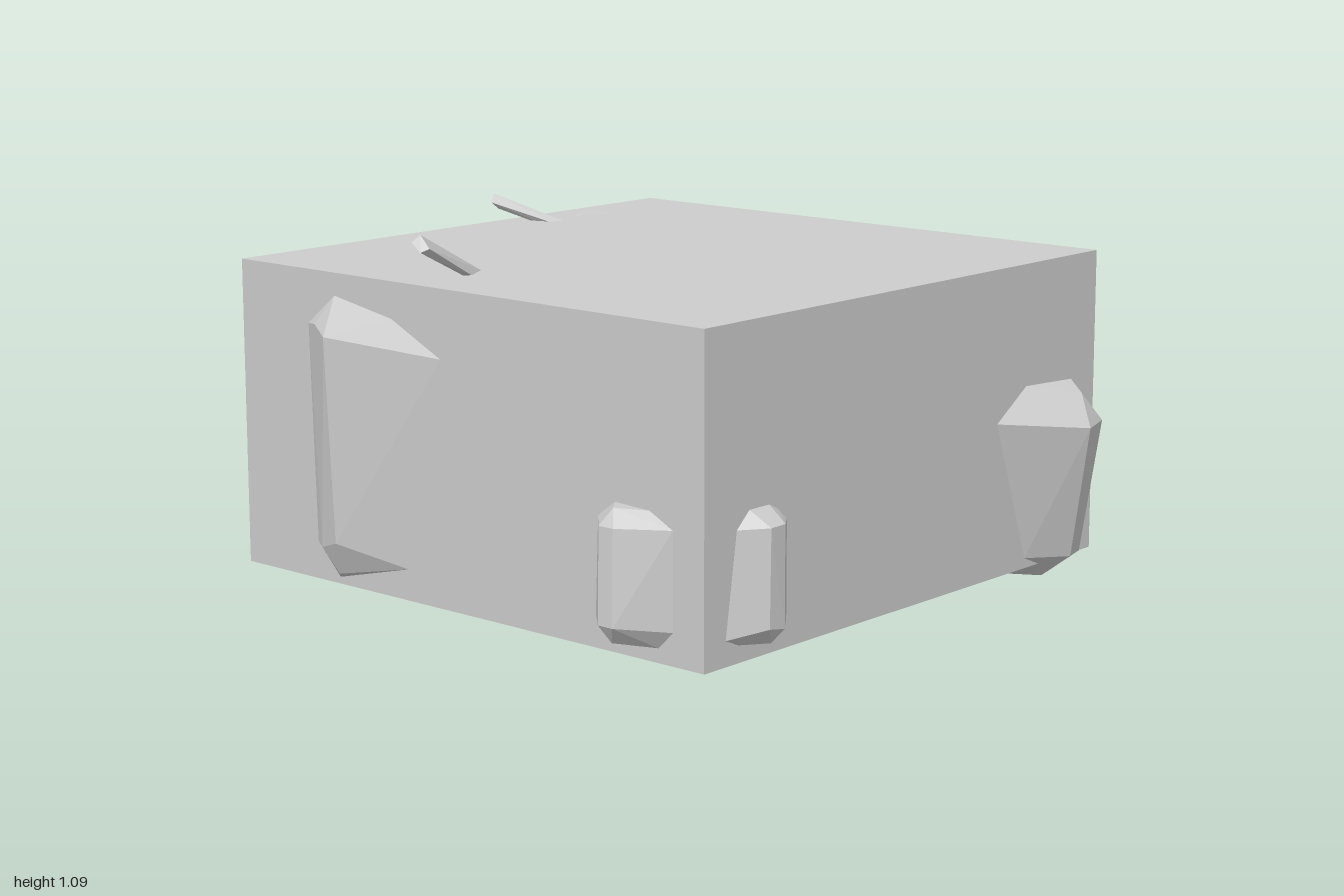
import * as THREE from 'three';
import { ConvexGeometry } from 'three/addons/geometries/ConvexGeometry.js';

export function createModel() {
  const model = new THREE.Group();
  const stone = new THREE.MeshStandardMaterial({ color: 0xcccccc });
  stone.name = 'paleGreyStone';

  const add = (name, geometry) => {
    const mesh = new THREE.Mesh(geometry, stone);
    mesh.name = name;
    model.add(mesh);
    return mesh;
  };
  // Faceted crystal: hull of its visible corners and a root inside the block
  const crystal = (name, root, corners) =>
    add(name, new ConvexGeometry([root, ...corners].map((p) => new THREE.Vector3(...p))));

  // Main block
  add('block', new THREE.BoxGeometry(1.755, 0.895, 1.755)).position.set(-0.022, 0.5075, -0.0425);

  // Front crystals: upper cap, upper ring, lower ring, lower tip
  crystal('frontLargeCrystal', [0.6, 0.3, 0.6], [
    [0.51, 0.6, 0.835], [0.66, 0.57, 0.925], [0.73, 0.59, 0.84],
    [0.37, 0.51, 0.835], [0.62, 0.48, 0.985], [0.74, 0.48, 0.945], [0.81, 0.5, 0.835],
    [0.52, 0.09, 0.835], [0.66, 0.08, 0.9], [0.735, 0.08, 0.88], [0.77, 0.06, 0.83],
    [0.66, 0.005, 0.8], [0.32, 0.06, 0.62], [0.83, 0.06, 0.72],
  ]);
  crystal('frontSmallCrystal', [-0.7, 0.28, 0.75], [
    [-0.74, 0.465, 0.85], [-0.66, 0.465, 0.85], [-0.6, 0.44, 0.83],
    [-0.79, 0.42, 0.85], [-0.73, 0.425, 0.915], [-0.67, 0.425, 0.912], [-0.57, 0.41, 0.835],
    [-0.815, 0.13, 0.835], [-0.74, 0.16, 0.92], [-0.68, 0.15, 0.92], [-0.57, 0.14, 0.835],
    [-0.77, 0.11, 0.84], [-0.7, 0.11, 0.89], [-0.6, 0.1, 0.835],
  ]);

  // Side crystals
  crystal('leftSideCrystal', [0.7, 0.35, 0.5], [
    [0.855, 0.63, 0.65], [0.92, 0.66, 0.48], [0.86, 0.665, 0.53],
    [0.855, 0.51, 0.77], [1, 0.56, 0.53], [0.98, 0.57, 0.43], [0.95, 0.6, 0.355], [0.855, 0.56, 0.34],
    [0.855, 0.12, 0.66], [0.98, 0.17, 0.44], [0.93, 0.2, 0.28], [0.855, 0.21, 0.27],
    [0.855, 0.08, 0.46], [0.9, 0.08, 0.41],
  ]);
  crystal('rightSideFrontCrystal', [-0.8, 0.28, 0.6], [
    [-0.95, 0.465, 0.57], [-0.9, 0.465, 0.53], [-0.9, 0.46, 0.65],
    [-0.9, 0.42, 0.47], [-0.985, 0.42, 0.55], [-0.985, 0.42, 0.6], [-0.9, 0.42, 0.73],
    [-0.9, 0.15, 0.46], [-1, 0.16, 0.56], [-1, 0.16, 0.61], [-0.9, 0.15, 0.73],
    [-0.97, 0.11, 0.58], [-0.9, 0.1, 0.55], [-0.9, 0.1, 0.68],
  ]);
  crystal('rightSideBackCrystal', [-0.75, 0.5, -0.4], [
    [-0.9, 0.89, -0.53], [-0.9, 0.85, -0.3],
    [-0.9, 0.8, -0.64], [-0.94, 0.81, -0.57], [-0.99, 0.79, -0.48], [-0.9, 0.76, -0.11],
    [-0.97, 0.2, -0.47], [-0.94, 0.17, -0.56], [-0.9, 0.17, -0.62], [-0.9, 0.15, -0.25],
    [-0.93, 0.1, -0.5], [-0.9, 0.08, -0.53],
  ]);
  crystal('leftSideSliver', [0.82, 0.22, 0.13], [
    [0.858, 0.3, 0.135], [0.86, 0.18, 0.12], [0.855, 0.18, 0.145],
  ]);

  // Back crystal
  crystal('backCrystal', [0.45, 0.45, -0.8], [
    [0.51, 0.885, -0.92], [0.45, 0.87, -0.922], [0.5, 0.86, -0.938],
    [0.595, 0.21, -0.92], [0.23, 0.235, -0.92], [0.48, 0.25, -0.985],
    [0.54, 0.24, -0.965], [0.45, 0.185, -0.92],
  ]);

  // Thin shards on the top
  crystal('topLongShard', [-0.62, 0.92, -0.24], [
    [-0.88, 1.09, -0.2], [-0.9, 1.07, -0.215], [-0.9, 1.045, -0.18], [-0.88, 1.055, -0.165],
    [-0.6, 0.955, -0.25], [-0.67, 0.95, -0.21], [-0.67, 0.95, -0.255],
  ]);
  crystal('topBackShard', [0.25, 0.93, -0.78], [
    [0.165, 1.035, -0.96], [0.14, 1.01, -0.945], [0.19, 1.025, -0.96], [0.16, 0.99, -0.935],
    [0.28, 0.95, -0.75], [0.28, 0.95, -0.8], [0.23, 0.95, -0.82], [0.24, 0.95, -0.77],
  ]);
  crystal('topSliver', [0.46, 0.92, -0.81], [
    [0.38, 0.955, -0.82], [0.485, 0.962, -0.85], [0.5, 0.955, -0.76],
  ]);

  // Shallow wedge under the block
  crystal('undersideWedge', [-0.4, 0.2, 0.2], [
    [-0.62, 0.01, 0.49], [0.274, 0.058, 0.273], [-0.8, 0.058, -0.14],
    [-0.72, 0.06, 0.55], [-0.45, 0.06, -0.2],
  ]);

  return model;
}
